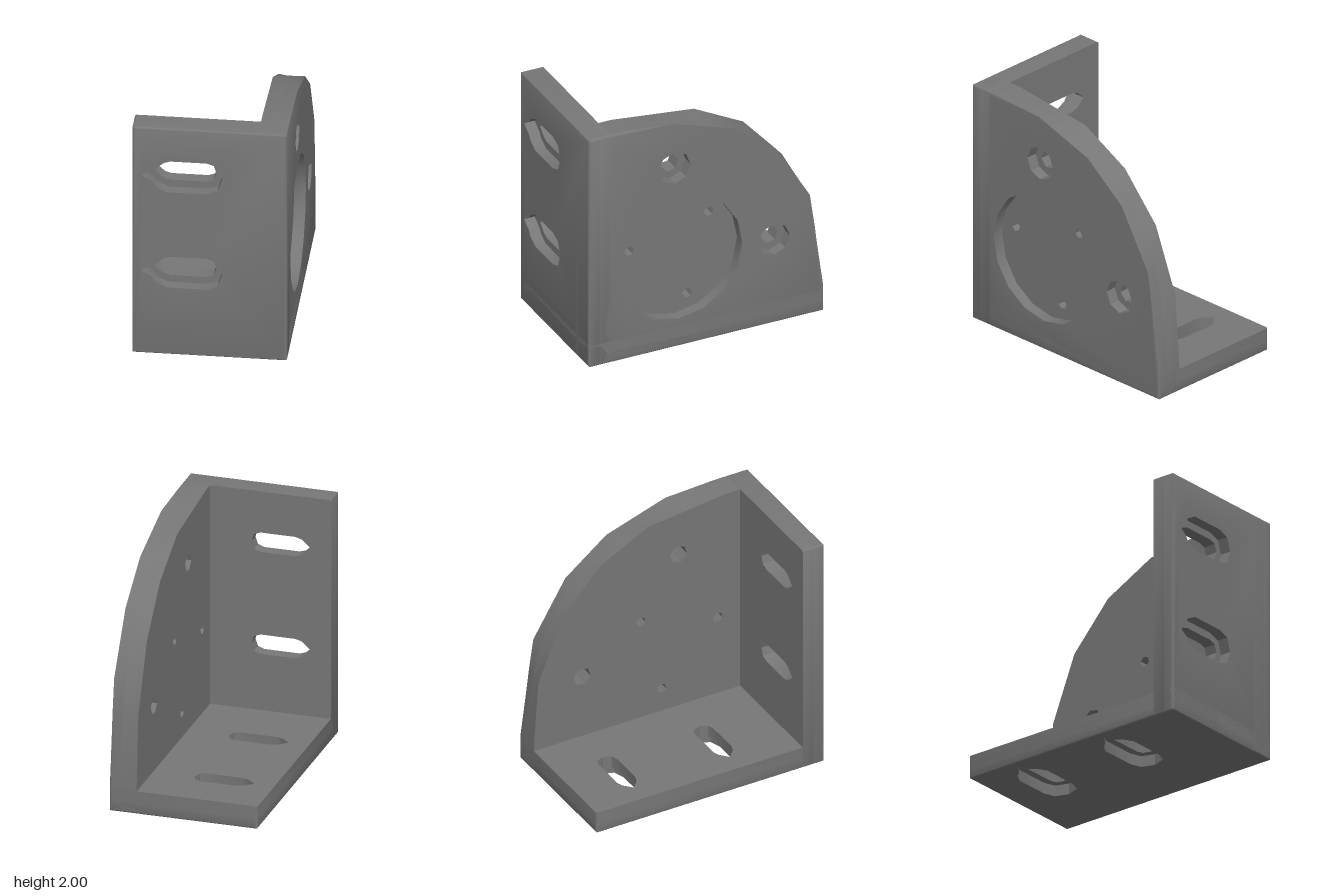
import * as THREE from 'three';
import { toCreasedNormals } from 'three/addons/utils/BufferGeometryUtils.js';

const W = 0.595;      // half width of the bracket
const WALL = 0.19;    // thickness of front and base plates
const SIDE = 0.22;    // thickness of the side plate
const BORE = 0.09;    // depth of counterbores and pocket
const R = 0.02;       // edge rounding
const N = 4;          // segments in each rounded edge

const material = new THREE.MeshStandardMaterial({ color: 0x777777 });
const vec = (x, y) => new THREE.Vector2(x, y);

// Points on a circular arc, used for holes and rounded corners
function arc(x, y, r, count, start, sweep) {
  return Array.from({ length: count }, (_, i) => {
    const a = start + (i / (count - 1)) * sweep;
    return vec(x + r * Math.cos(a), y + r * Math.sin(a));
  });
}
const ring = (x, y, r, sides, turn = 0) => arc(x, y, r, sides + 1, turn, Math.PI * 2).slice(0, sides);

// Rounded outline corner; quarter 0 is top right, counting anticlockwise
function corner(x, y, quarter) {
  const sx = quarter === 0 || quarter === 3 ? 1 : -1;
  const sy = quarter < 2 ? 1 : -1;
  return arc(x - sx * R, y - sy * R, R, N + 1, (quarter * Math.PI) / 2, Math.PI / 2);
}

// Slot with a faceted right end and a pointed left end; shoulders shape the point
function slot(y, r, shoulders) {
  const a = -0.31, b = -0.03;
  const upper = [
    [b + r * 0.92, 0], [b + r * 0.66, 0.77], [b, 1],
    ...shoulders.map(([u, v]) => [a + r * u, v]),
  ];
  const lower = upper.slice(1).reverse().map(([x, v]) => [x, -v]);
  return [...upper, [a - r * 1.53, 0], ...lower].map(([x, v]) => vec(x, y + r * v));
}
const narrowSlot = (y) => slot(y, 0.08, [[0, 1], [-0.65, 0.8]]);
const wideSlot = (y) => slot(y, 0.14, [[-0.14, 1], [-0.74, 0.68], [-0.93, 0.39]]);

// One slab of a plate between depths e0 and e1; the outer slab gets a rounded rim
function slab(name, outline, holes, e0, e1, outer, drift) {
  const shape = new THREE.Shape(outline);
  holes.forEach((h) => shape.holes.push(new THREE.Path(h)));
  const depth = e1 - e0;
  const steps = outer ? N + 1 : 1;
  const geo = new THREE.ExtrudeGeometry(shape, { depth, steps, bevelEnabled: false });
  const box = new THREE.Box2().setFromPoints(outline);
  const p = geo.attributes.position;
  for (let i = 0; i < p.count; i++) {
    let x = p.getX(i), y = p.getY(i), e = e0 + p.getZ(i), inset = 0;
    const level = Math.round((p.getZ(i) / depth) * steps);
    if (outer && level > 0) {
      const a = ((level - 1) / N) * (Math.PI / 2);
      e = e1 - R + R * Math.sin(a);
      inset = R * (1 - Math.cos(a));
    }
    const d = drift.find((q) => Math.hypot(q.from.x - x, q.from.y - y) < 1e-4);
    if (d) {
      x += (d.to.x - d.from.x) * (e / SIDE);
      y += (d.to.y - d.from.y) * (e / SIDE);
    }
    x = Math.min(Math.max(x, box.min.x + inset), box.max.x - inset);
    y = Math.min(Math.max(y, box.min.y + inset), box.max.y - inset);
    p.setXYZ(i, x, y, e);
  }
  const mesh = new THREE.Mesh(toCreasedNormals(geo, 0.6), material);
  mesh.name = name;
  return mesh;
}

// A plate is an inner slab with small holes and an outer slab with wide ones
function plate(name, outline, small, wide, thickness, drift = []) {
  const g = new THREE.Group();
  g.name = name;
  const mid = thickness - BORE;
  g.add(
    slab(name + 'Inner', outline, small, 0, mid, false, drift),
    slab(name + 'Outer', outline, wide, mid, thickness, true, drift),
  );
  return g;
}

function slottedPlate(name, centres) {
  const outline = [...corner(W, 2, 0), ...corner(-W, 2, 1), ...corner(-W, 0, 2), ...corner(W, 0, 3)];
  return plate(name, outline, centres.map(narrowSlot), centres.map(wideSlot), WALL);
}

function sidePlate() {
  // Rounded back edge: points alternate between the inner and the outer face
  const curve = [
    [-0.7, 2], [-0.28, 1.97], [0, 1.92], [0.24, 1.8], [0.42, 1.7],
    [0.6, 1.52], [0.75, 1.33], [0.88, 1.05], [0.96, 0.8], [1, 0.22],
  ].map(([x, y]) => vec(x, y));
  const last = curve.length - 1;
  const drift = curve.map((pt, i) => {
    if (i === 0 || i === last) return { from: pt, to: pt };
    const chord = curve[i - 1].clone().lerp(curve[i + 1], i === last - 1 ? 0.35 : 0.5);
    return i % 2 ? { from: chord, to: pt } : { from: pt, to: chord };
  });
  const outline = [
    ...drift.map((d) => d.from).reverse(),
    ...corner(-1, 2, 1), ...corner(-1, 0, 2), ...corner(1, 0, 3),
  ];
  const bolts = [[-0.27, 1.58], [0.575, 0.735]];
  const screws = [[0.06, 1.065], [-0.615, 0.885], [-0.12, 0.395]];
  const small = [
    ...bolts.map(([x, y]) => ring(x, y, 0.077, 6, 0.2)),
    ...screws.map(([x, y]) => ring(x, y, 0.043, 6, 0.3)),
  ];
  const wide = [
    ...bolts.map(([x, y]) => ring(x, y, 0.137, 8)),
    ring(-0.23, 0.78, 0.535, 16),
  ];
  return plate('sidePlate', outline, small, wide, SIDE, drift);
}

export function createModel() {
  const model = new THREE.Group();
  model.name = 'cornerBracket';

  const front = slottedPlate('frontPlate', [0.735, 1.58]);
  front.position.z = 1 - WALL;

  const base = slottedPlate('basePlate', [0.42, 1.265]);
  base.rotation.x = Math.PI / 2;
  base.position.set(0, WALL, -1);

  const side = sidePlate();
  side.rotation.y = Math.PI / 2;
  side.position.x = W - SIDE;

  model.add(front, base, side);
  return model;
}
